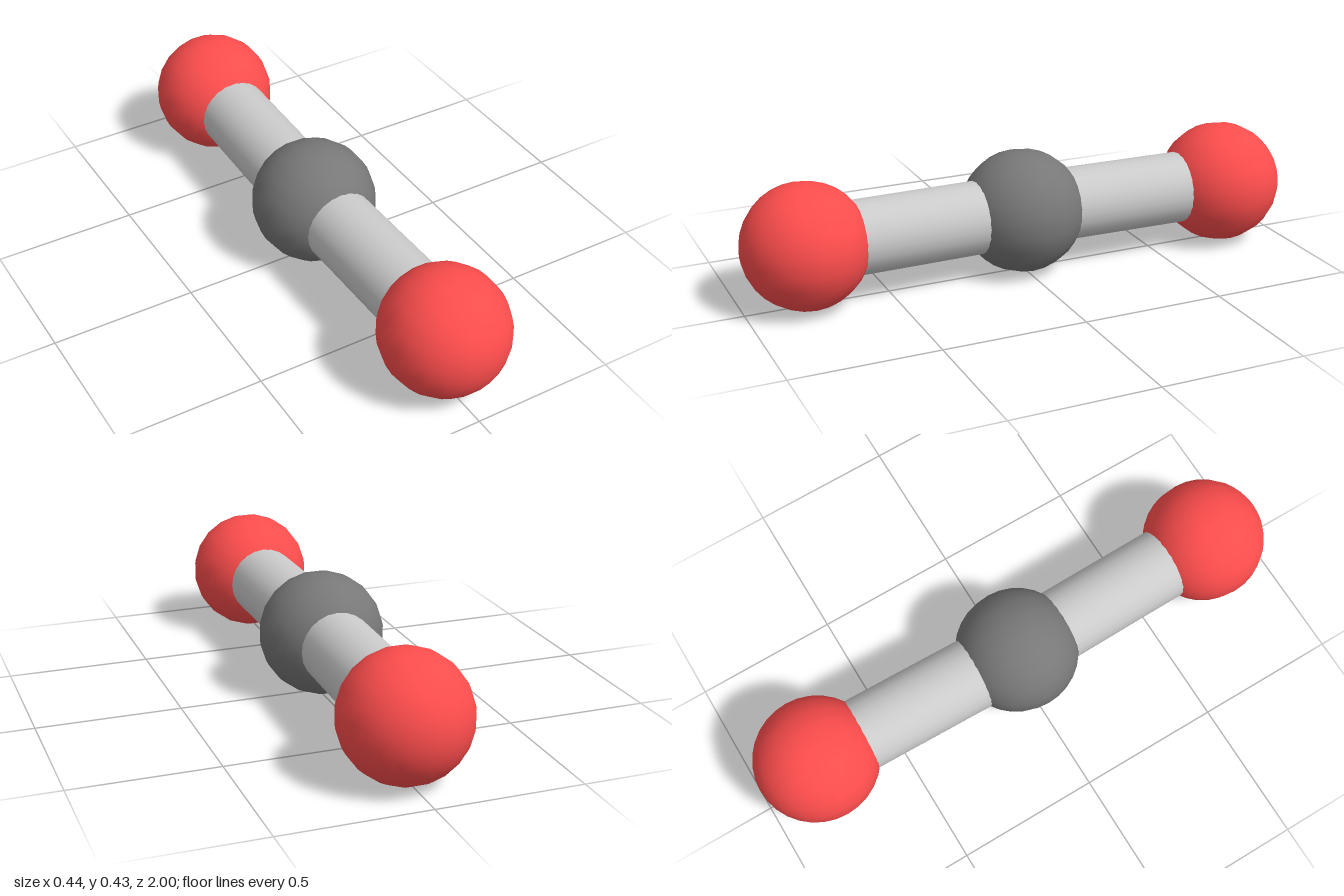
import * as THREE from 'three';

const RADIUS = 0.216;
const BOND_RADIUS = 0.128;
const FORWARD = new THREE.Vector3(0, 0, 1);
const UP = new THREE.Vector3(0, 1, 0);

export function createModel() {
  const model = new THREE.Group();
  const grey = new THREE.MeshStandardMaterial({ color: 0xcccccc });
  const red = new THREE.MeshStandardMaterial({ color: 0xff4d4d });
  const dark = new THREE.MeshStandardMaterial({ color: 0x787878 });

  // Ball with its poles along the length of the molecule
  const ball = new THREE.SphereGeometry(RADIUS, 20, 16);
  ball.rotateX(Math.PI / 2).rotateZ(Math.PI / 20);

  function addBall(name, position, material) {
    const mesh = new THREE.Mesh(ball, material);
    mesh.name = name;
    mesh.position.copy(position);
    model.add(mesh);
  }

  // Rod running between two ball centres
  function addBond(name, from, to) {
    const axis = to.clone().sub(from);
    const geometry = new THREE.CylinderGeometry(BOND_RADIUS, BOND_RADIUS, axis.length(), 24);
    const mesh = new THREE.Mesh(geometry, grey);
    mesh.name = name;
    mesh.position.copy(from).add(to).multiplyScalar(0.5);
    mesh.quaternion.setFromUnitVectors(UP, axis.normalize());
    model.add(mesh);
  }

  // Central atom, slightly off the line of the outer pair
  const centre = new THREE.Vector3(-0.01, 0.218, 0);
  addBall('centreAtom', centre, dark);

  // Outer atoms and their bonds
  for (const [side, sign, x] of [['front', 1, 0.003], ['back', -1, 0.007]]) {
    const end = FORWARD.clone().multiplyScalar(sign * (1 - RADIUS)).add(new THREE.Vector3(x, 0.218, 0));
    addBall(side + 'Atom', end, red);
    addBond(side + 'Bond', centre, end);
  }

  return model;
}
